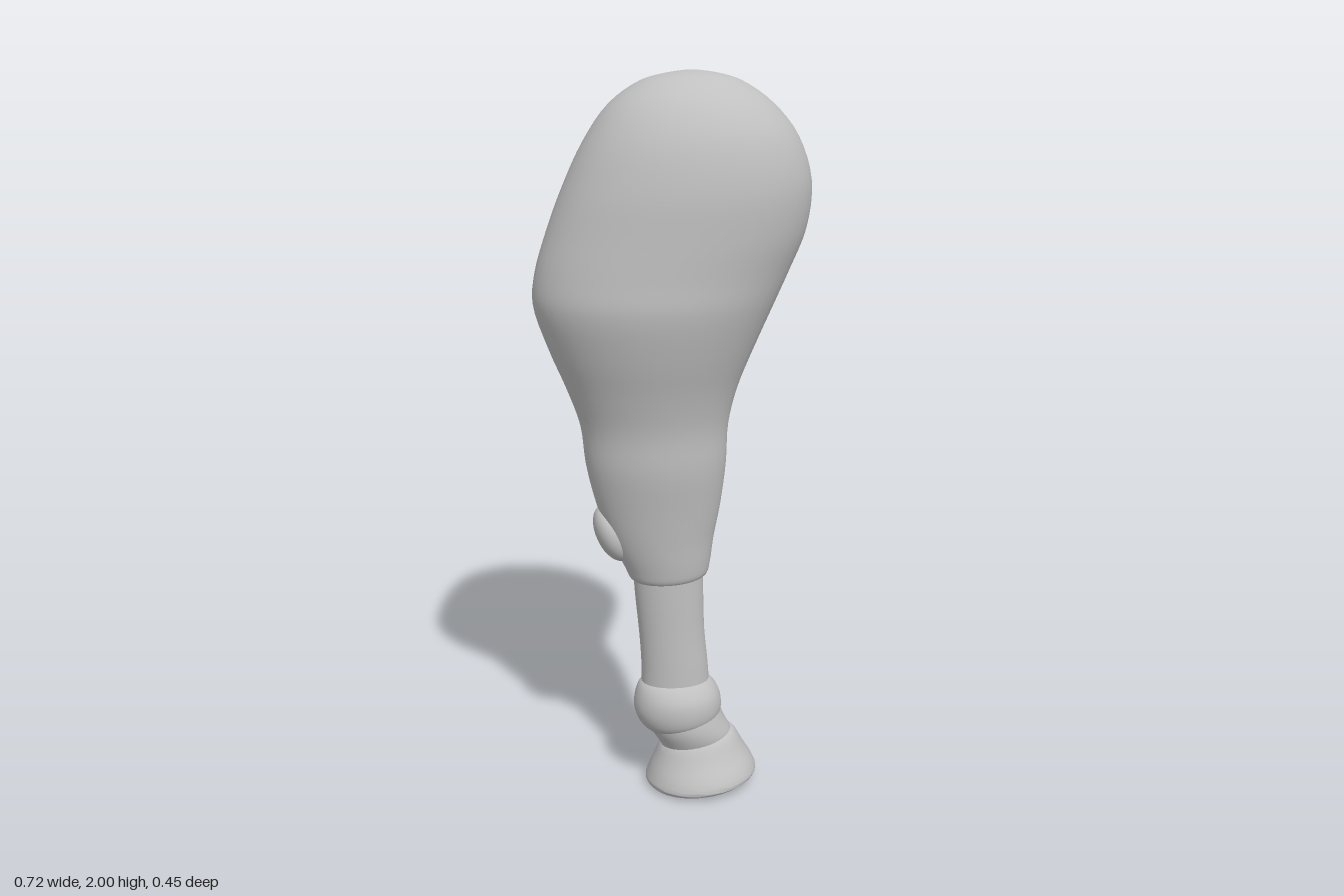
import * as THREE from 'three';
import { toCreasedNormals } from 'three/addons/utils/BufferGeometryUtils.js';

const SIDES = 40;

// Each ring: [left x, left y, right x, right y, half depth], listed top to bottom.
// Rings may tilt; splines smooth between them, and both ends are capped.
function loft(rings, steps, crease) {
  const left = new THREE.CatmullRomCurve3(rings.map(r => new THREE.Vector3(r[0], r[1], 0)));
  const right = new THREE.CatmullRomCurve3(rings.map(r => new THREE.Vector3(r[2], r[3], r[4])));
  const n = (rings.length - 1) * steps;
  const pos = [], index = [];
  for (let i = 0; i <= n; i++) {
    const a = left.getPoint(i / n), b = right.getPoint(i / n);
    for (let j = 0; j < SIDES; j++) {
      const t = (j / SIDES) * Math.PI * 2, k = (1 + Math.cos(t)) / 2;
      pos.push(a.x + (b.x - a.x) * k, a.y + (b.y - a.y) * k, b.z * Math.sin(t));
    }
  }
  for (let i = 0; i < n; i++) {
    for (let j = 0; j < SIDES; j++) {
      const a = i * SIDES + j, b = i * SIDES + (j + 1) % SIDES;
      index.push(a, b, a + SIDES, b, b + SIDES, a + SIDES);
    }
  }
  // Caps
  const top = pos.length / 3, first = rings[0], last = rings[rings.length - 1];
  for (const r of [first, last]) pos.push((r[0] + r[2]) / 2, (r[1] + r[3]) / 2, 0);
  for (let j = 0; j < SIDES; j++) {
    const k = (j + 1) % SIDES;
    index.push(top, k, j, top + 1, n * SIDES + j, n * SIDES + k);
  }
  const geo = new THREE.BufferGeometry();
  geo.setAttribute('position', new THREE.Float32BufferAttribute(pos, 3));
  geo.setIndex(index);
  geo.computeVertexNormals();
  return crease ? toCreasedNormals(geo, crease) : geo;
}

export function createModel() {
  const group = new THREE.Group();
  const grey = new THREE.MeshStandardMaterial({ color: 0xc0c0c0 });
  grey.name = 'plain grey';
  const add = (name, geometry) => {
    const mesh = new THREE.Mesh(geometry, grey);
    mesh.name = name;
    group.add(mesh);
    return mesh;
  };

  // Rounded haunch narrowing to the hock
  add('upperLeg', loft([
    [0.035, 2.0, 0.065, 2.0, 0.01],
    [-0.015, 1.993, 0.115, 1.993, 0.047],
    [-0.08, 1.975, 0.175, 1.975, 0.087],
    [-0.16, 1.92, 0.257, 1.92, 0.148],
    [-0.225, 1.83, 0.322, 1.84, 0.195],
    [-0.283, 1.71, 0.358, 1.73, 0.219],
    [-0.325, 1.6, 0.348, 1.61, 0.222],
    [-0.355, 1.5, 0.305, 1.5, 0.222],
    [-0.362, 1.42, 0.27, 1.42, 0.222],
    [-0.325, 1.3, 0.218, 1.3, 0.195],
    [-0.28, 1.19, 0.175, 1.19, 0.162],
    [-0.246, 1.09, 0.152, 1.09, 0.139],
    [-0.233, 0.98, 0.147, 0.98, 0.131],
    [-0.205, 0.86, 0.133, 0.86, 0.111],
    [-0.17, 0.76, 0.115, 0.76, 0.096],
    [-0.132, 0.68, 0.106, 0.69, 0.085],
    [-0.115, 0.645, 0.097, 0.655, 0.077],
    [-0.09, 0.632, 0.07, 0.642, 0.06],
  ], 4));

  // Cannon
  add('lowerLeg', loft([
    [-0.11, 0.7, 0.085, 0.7, 0.072],
    [-0.104, 0.6, 0.088, 0.6, 0.071],
    [-0.093, 0.48, 0.092, 0.48, 0.069],
    [-0.087, 0.38, 0.102, 0.38, 0.07],
    [-0.087, 0.3, 0.108, 0.3, 0.07],
  ], 3));

  // Bulging ankle joint
  add('fetlock', loft([
    [-0.06, 0.337, 0.08, 0.337, 0.055],
    [-0.09, 0.325, 0.108, 0.328, 0.075],
    [-0.106, 0.285, 0.134, 0.29, 0.1],
    [-0.108, 0.24, 0.142, 0.25, 0.104],
    [-0.09, 0.198, 0.136, 0.22, 0.096],
    [-0.06, 0.17, 0.11, 0.205, 0.075],
  ], 4));

  // Slanted ankle below the joint
  add('pastern', loft([
    [-0.085, 0.235, 0.135, 0.245, 0.09],
    [-0.065, 0.18, 0.15, 0.205, 0.094],
    [-0.035, 0.13, 0.172, 0.16, 0.084],
    [-0.025, 0.1, 0.175, 0.13, 0.07],
  ], 3));

  // Flared hoof with a flat sole
  add('hoof', loft([
    [-0.018, 0.136, 0.16, 0.167, 0.07],
    [-0.03, 0.129, 0.178, 0.163, 0.083],
    [-0.05, 0.085, 0.21, 0.11, 0.11],
    [-0.07, 0.035, 0.24, 0.058, 0.141],
    [-0.076, 0.012, 0.245, 0.04, 0.146],
    [-0.068, 0.001, 0.238, 0.032, 0.138],
  ], 4, 0.7));

  // Small oval pad at the back of the hock
  const pad = add('hockPad', new THREE.SphereGeometry(1, 24, 16));
  pad.scale.set(0.045, 0.085, 0.06);
  pad.position.set(-0.164, 0.778, 0);
  pad.rotation.z = 0.4;

  return group;
}
